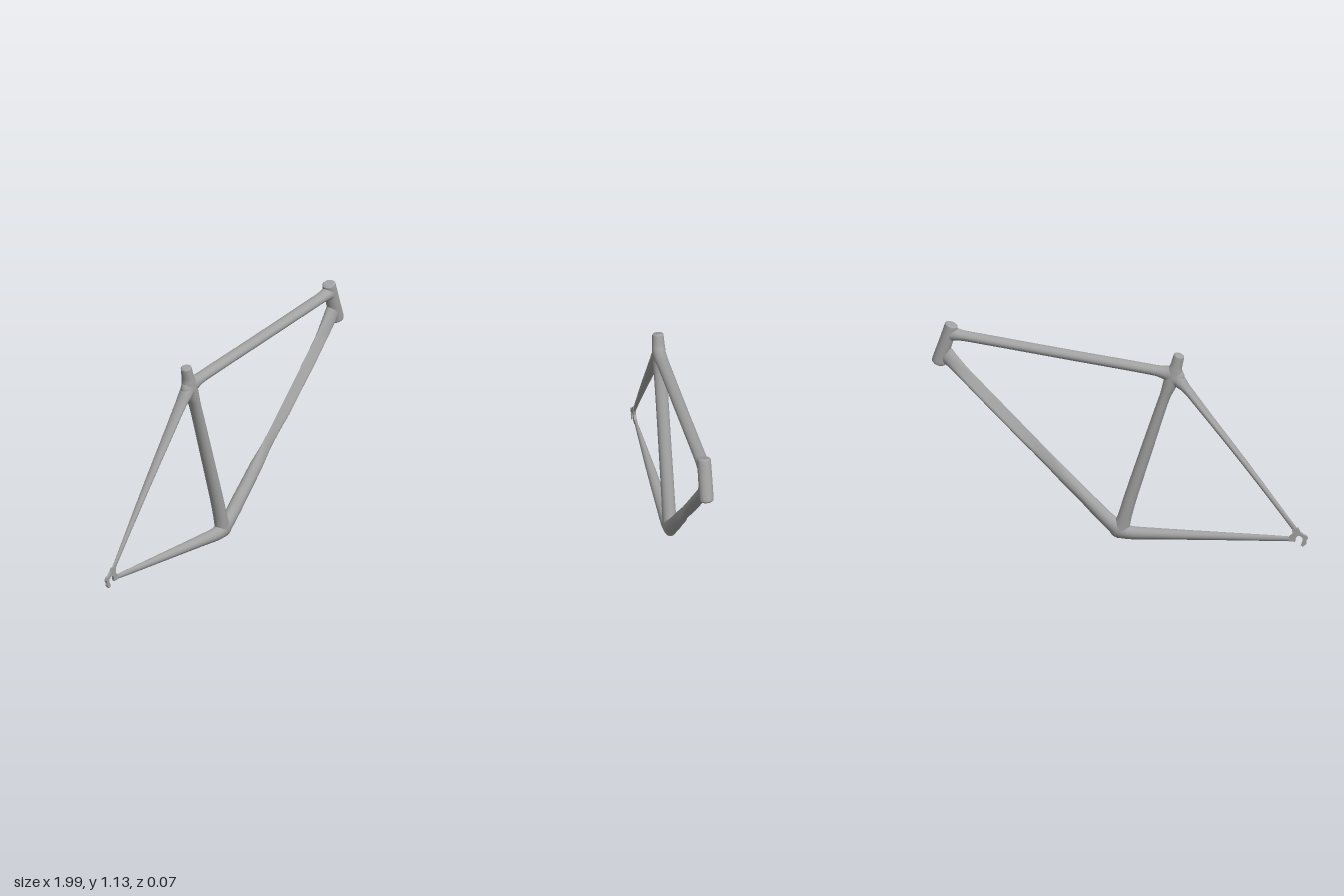
import * as THREE from 'three';

const SIDES = 24;

// Smooth loft along stations [x, y, half height in the frame plane, half width in z, wedge 0..1].
// A wedge of 1 pinches the upper side of the section into two flat faces.
function loft(stations, steps) {
  const path = new THREE.CatmullRomCurve3(stations.map((s) => new THREE.Vector3(s[0], s[1], 0)));
  const size = new THREE.CatmullRomCurve3(stations.map((s) => new THREE.Vector3(s[2], s[3], s[4] || 0)));
  const pos = [];
  const index = [];
  for (let i = 0; i <= steps; i++) {
    const p = path.getPoint(i / steps);
    const t = path.getTangent(i / steps);
    const s = size.getPoint(i / steps);
    const wedge = THREE.MathUtils.clamp(s.z, 0, 1);
    for (let j = 0; j < SIDES; j++) {
      const a = (j / SIDES) * Math.PI * 2;
      const u = Math.cos(a);
      const round = Math.sin(a);
      const flat = Math.sign(round) * Math.min(Math.abs(round), 0.55 * (1 - u));
      const v = THREE.MathUtils.lerp(round, flat, wedge);
      pos.push(p.x - t.y * u * s.x, p.y + t.x * u * s.x, v * s.y);
    }
  }
  for (let i = 0; i < steps; i++) {
    for (let j = 0; j < SIDES; j++) {
      const k = (j + 1) % SIDES;
      const a = i * SIDES;
      const b = a + SIDES;
      index.push(a + j, a + k, b + k, a + j, b + k, b + j);
    }
  }
  // end caps with their own vertices, so their rims stay sharp
  for (const end of [0, steps]) {
    const p = path.getPoint(end / steps);
    const base = pos.length / 3;
    for (let j = 0; j < SIDES; j++) {
      const o = (end * SIDES + j) * 3;
      pos.push(pos[o], pos[o + 1], pos[o + 2]);
    }
    pos.push(p.x, p.y, 0);
    for (let j = 0; j < SIDES; j++) {
      const k = (j + 1) % SIDES;
      if (end) index.push(base + SIDES, base + j, base + k);
      else index.push(base + SIDES, base + k, base + j);
    }
  }
  const g = new THREE.BufferGeometry();
  g.setAttribute('position', new THREE.Float32BufferAttribute(pos, 3));
  g.setIndex(index);
  g.computeVertexNormals();
  return g;
}

export function createModel() {
  const frame = new THREE.Group();
  frame.name = 'bicycleFrame';
  const grey = new THREE.MeshStandardMaterial({ color: 0xa2a2a2 });
  grey.name = 'frameGrey';

  const add = (name, geometry) => {
    const mesh = new THREE.Mesh(geometry, grey);
    mesh.name = name;
    frame.add(mesh);
    return mesh;
  };

  // seat tube, running up through the cluster to the seat post stub
  add('seatTube', loft([
    [-0.01, 0.055, 0.046, 0.036], [-0.03, 0.125, 0.036, 0.036], [-0.056, 0.22, 0.034, 0.035],
    [-0.142, 0.5, 0.0315, 0.034], [-0.238, 0.807, 0.028, 0.034], [-0.268, 0.89, 0.036, 0.036],
    [-0.29, 0.95, 0.046, 0.036], [-0.304, 1.0, 0.031, 0.033], [-0.315, 1.045, 0.029, 0.03],
    [-0.318, 1.058, 0.028, 0.029], [-0.32, 1.064, 0.021, 0.022],
  ], 60));

  // top tube, flared into both joints
  add('topTube', loft([
    [-0.3, 0.948, 0.055, 0.036], [-0.245, 0.957, 0.036, 0.035], [-0.19, 0.965, 0.027, 0.033],
    [0.3, 1.013, 0.026, 0.032], [0.81, 1.064, 0.026, 0.033], [0.865, 1.069, 0.034, 0.035],
    [0.91, 1.072, 0.045, 0.035],
  ], 48));

  // down tube: round below, waisted, then wedge-shaped up to the head
  add('downTube', loft([
    [0.0, 0.055, 0.047, 0.036], [0.055, 0.098, 0.038, 0.036], [0.14, 0.18, 0.036, 0.036],
    [0.27, 0.308, 0.035, 0.034, 0.15], [0.38, 0.418, 0.034, 0.025, 0.75],
    [0.49, 0.528, 0.034, 0.039, 1], [0.65, 0.688, 0.034, 0.042, 1],
    [0.8, 0.838, 0.034, 0.042, 0.9], [0.88, 0.918, 0.038, 0.037, 0.3], [0.92, 0.957, 0.045, 0.035],
  ], 60));

  // head tube with softened rims
  add('headTube', loft([
    [0.957, 0.898, 0.028, 0.027], [0.954, 0.906, 0.037, 0.036], [0.949, 0.922, 0.038, 0.037],
    [0.918, 1.018, 0.036, 0.037], [0.89, 1.106, 0.035, 0.036],
    [0.886, 1.12, 0.034, 0.035], [0.884, 1.126, 0.026, 0.027],
  ], 36));

  // chain stay and seat stay, tapering to the rear
  add('chainStay', loft([
    [-0.91, 0.083, 0.012, 0.007], [-0.8, 0.077, 0.016, 0.012], [-0.5, 0.061, 0.022, 0.024],
    [-0.2, 0.045, 0.029, 0.033], [-0.06, 0.039, 0.035, 0.036], [-0.01, 0.047, 0.043, 0.036],
  ], 36));
  add('seatStay', loft([
    [-0.938, 0.13, 0.014, 0.005], [-0.885, 0.2, 0.013, 0.009], [-0.66, 0.495, 0.015, 0.02],
    [-0.45, 0.76, 0.018, 0.029], [-0.36, 0.873, 0.022, 0.033], [-0.32, 0.915, 0.036, 0.036],
    [-0.285, 0.945, 0.048, 0.036],
  ], 40));

  // blended joints
  const joint = (name, x, y, rx, ry) => {
    const m = add(name, new THREE.SphereGeometry(1, 24, 16));
    m.scale.set(rx, ry, 0.037);
    m.position.set(x, y, 0);
  };
  joint('bottomBracket', -0.004, 0.056, 0.055, 0.052);
  joint('seatCluster', -0.292, 0.935, 0.056, 0.055);

  // rear dropout: flat plate with a downward-open hook
  const hook = new THREE.Shape([
    [-0.948, 0.148], [-0.918, 0.14], [-0.92, 0.112], [-0.9, 0.095], [-0.9, 0.07],
    [-0.932, 0.07], [-0.936, 0.092], [-0.946, 0.103], [-0.96, 0.105], [-0.973, 0.094],
    [-0.974, 0.08], [-0.963, 0.054], [-0.975, 0.045], [-0.992, 0.063], [-0.99, 0.078],
    [-1.0, 0.092], [-0.994, 0.107], [-0.975, 0.114], [-0.958, 0.128],
  ].map(([x, y]) => new THREE.Vector2(x, y)));
  const plate = new THREE.ExtrudeGeometry(hook, { depth: 0.014, bevelEnabled: false });
  plate.translate(0, 0, -0.007);
  add('rearDropout', plate);

  return frame;
}
